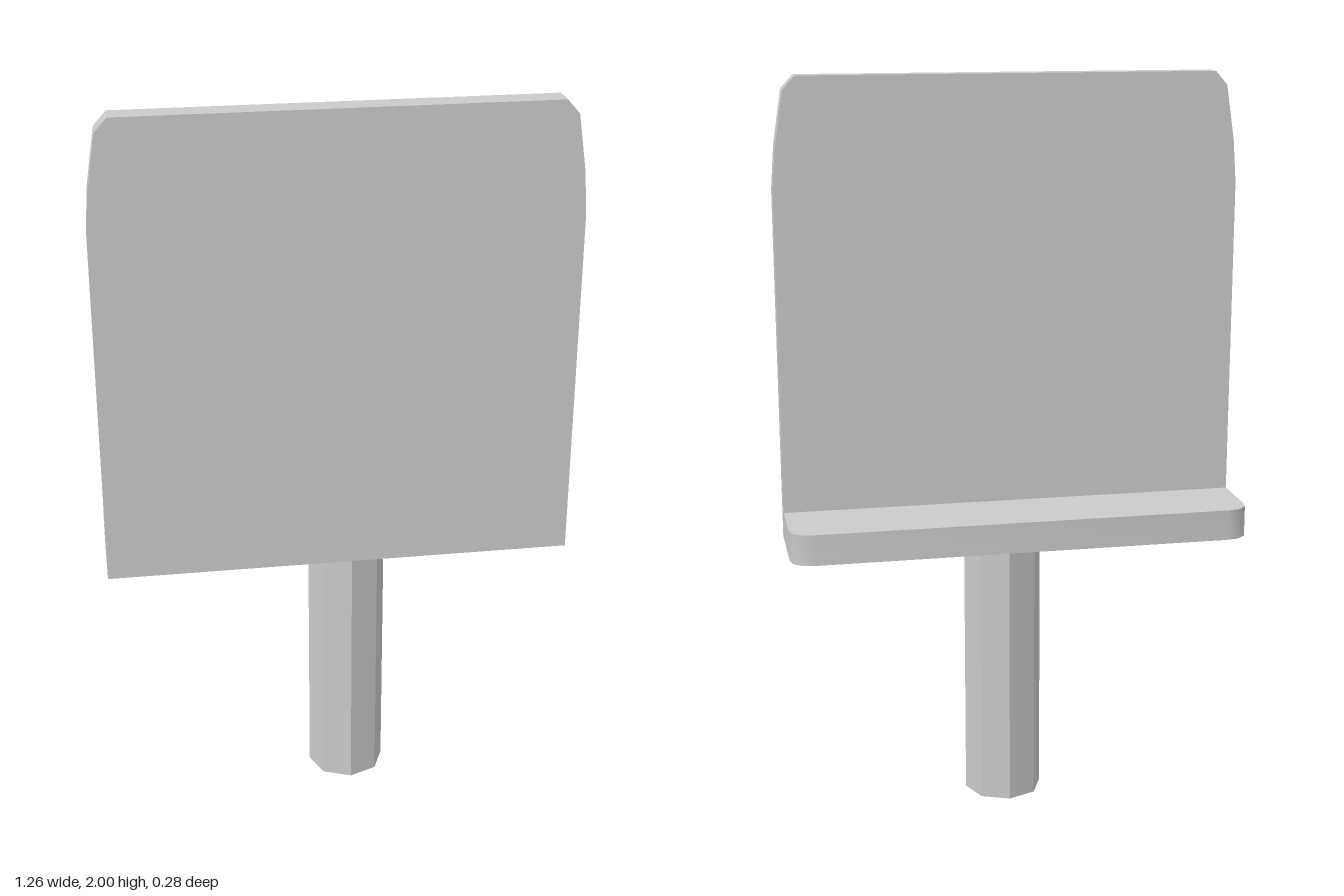
import * as THREE from 'three';
import { toCreasedNormals } from 'three/addons/utils/BufferGeometryUtils.js';

const HALF_WIDTH = 0.632;
const BASE_Y = 0.74;

// Slab with a square lower edge and mirrored, eased upper corners
function slab(bottom, corner, depth) {
  const right = [[HALF_WIDTH, bottom], ...corner];
  const left = right.map(([x, y]) => [-x, y]).reverse();
  const shape = new THREE.Shape([...right, ...left].map(([x, y]) => new THREE.Vector2(x, y)));
  return new THREE.ExtrudeGeometry(shape, { depth, bevelEnabled: false });
}

export function createModel() {
  const group = new THREE.Group();
  const material = new THREE.MeshStandardMaterial({ color: 0xcccccc });

  const add = (name, geometry) => {
    const mesh = new THREE.Mesh(toCreasedNormals(geometry, 0.6), material);
    mesh.name = name;
    group.add(mesh);
  };

  // Upright panel at the front
  const panelCorner = [[HALF_WIDTH, 1.7], [0.623, 1.815], [0.6, 1.963], [0.567, 2]];
  add('panel', slab(BASE_Y, panelCorner, 0.067).translate(0, 0, 0.075));

  // Narrow ledge running back from the foot of the panel
  const ledgeCorner = [[HALF_WIDTH, 0.08], [0.626, 0.115], [0.6, 0.137], [0.567, 0.142]];
  add('ledge', slab(-0.075, ledgeCorner, 0.085).rotateX(-Math.PI / 2).translate(0, BASE_Y, 0));

  // Octagonal post, slightly off centre
  add('post', new THREE.CylinderGeometry(0.107, 0.107, BASE_Y, 8).translate(0.038, BASE_Y / 2, 0));

  return group;
}
